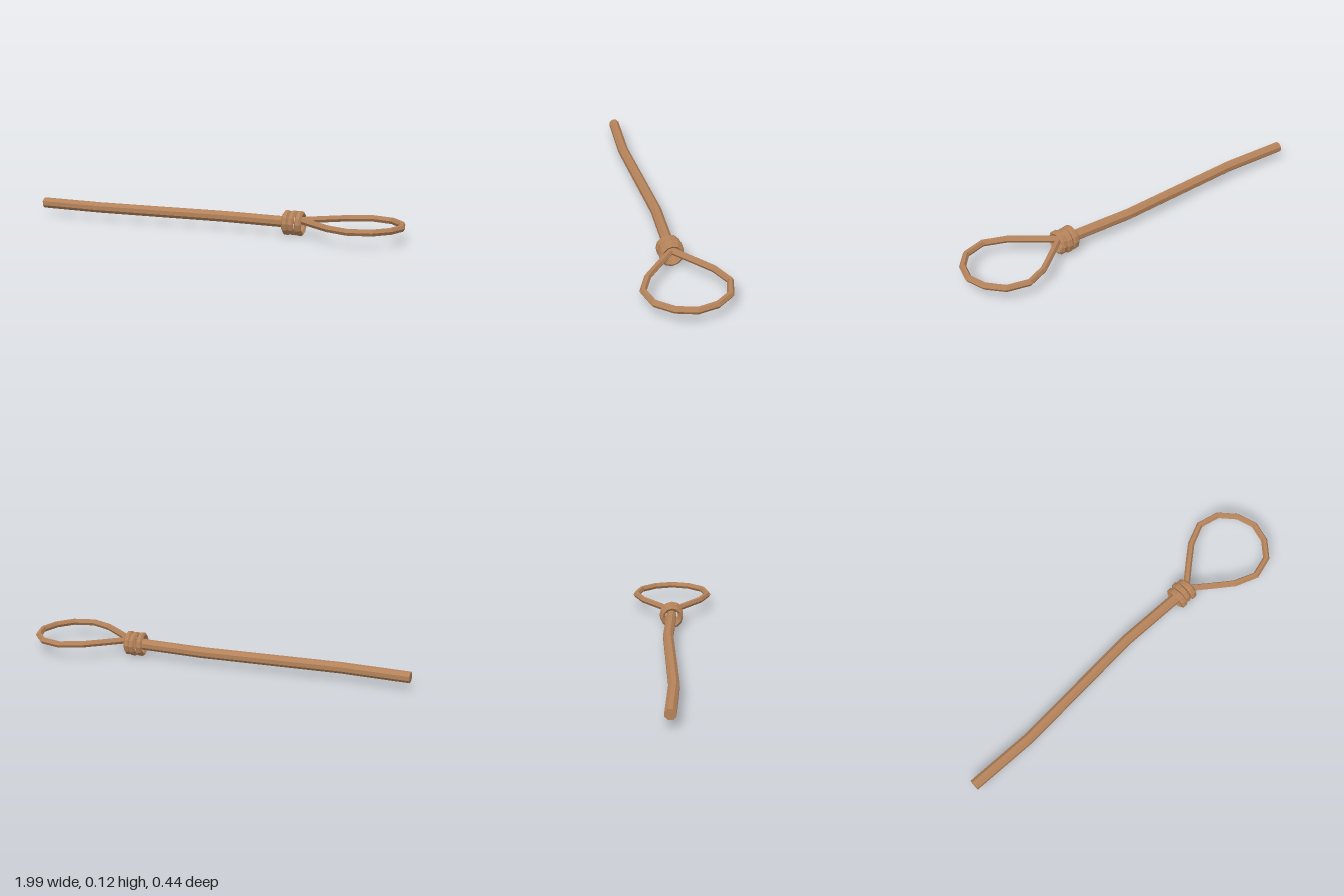
import * as THREE from 'three';

// Sweeps a faceted cord along [x, z] points lying at one height, with mitred corners
function cordGeometry(path, y, radius, sides, turn, closed) {
  const pts = path.map(([x, z]) => new THREE.Vector3(x, y, z));
  const up = new THREE.Vector3(0, 1, 0);
  const n = pts.length;
  const pos = [];
  const index = [];
  pts.forEach((p, i) => {
    const prev = closed ? pts[(i + n - 1) % n] : pts[Math.max(i - 1, 0)];
    const next = closed ? pts[(i + 1) % n] : pts[Math.min(i + 1, n - 1)];
    const a = p.clone().sub(prev).normalize();
    const b = next.clone().sub(p).normalize();
    const side = a.add(b).normalize().cross(up);
    for (let j = 0; j < sides; j++) {
      const t = turn + (j / sides) * Math.PI * 2;
      const v = p.clone().addScaledVector(side, radius * Math.cos(t)).addScaledVector(up, radius * Math.sin(t));
      pos.push(v.x, v.y, v.z);
    }
  });
  for (let i = 0; i < (closed ? n : n - 1); i++) {
    for (let j = 0; j < sides; j++) {
      const k = (j + 1) % sides;
      const a = i * sides, b = ((i + 1) % n) * sides;
      index.push(a + j, b + j, a + k, b + j, b + k, a + k);
    }
  }
  if (!closed) {
    const end = (n - 1) * sides;
    for (let j = 1; j < sides - 1; j++) {
      index.push(0, j, j + 1, end, end + j + 1, end + j);
    }
  }
  const g = new THREE.BufferGeometry();
  g.setAttribute('position', new THREE.Float32BufferAttribute(pos, 3));
  g.setIndex(index);
  g.computeVertexNormals();
  return g;
}

export function createModel() {
  const group = new THREE.Group();
  group.name = 'ropeLasso';
  const rope = new THREE.MeshStandardMaterial({ color: 0xb5835a, flatShading: true });
  rope.name = 'tan rope';
  const add = (name, geometry) => {
    const mesh = new THREE.Mesh(geometry, rope);
    mesh.name = name;
    group.add(mesh);
    return mesh;
  };

  // Long, gently waving rope
  const tail = [[-1, -0.003], [-0.65, 0.012], [0.05, -0.018], [0.42, -0.003]];
  add('longRope', cordGeometry(tail, 0.063, 0.028, 8, Math.PI / 8, false));

  // Teardrop loop: one half, mirrored across z
  const half = [[0.57, 0.086], [0.66, 0.156], [0.77, 0.201], [0.878, 0.173], [0.945, 0.096]];
  const mirrored = half.map(([x, z]) => [x, -z]).reverse();
  const loop = [[0.465, 0.002], ...half, [0.972, 0], ...mirrored, [0.465, -0.002]];
  add('loop', cordGeometry(loop, 0.0775, 0.0168, 6, 0, false));

  // Three slightly tilted coils of the knot
  const R = 0.0498, h = 0.0115, w = 0.0172;
  const profile = [[0, -w], [h, -w / 2], [h, w / 2], [0, w], [-h, w / 2], [-h, -w / 2], [0, -w]]
    .map(([r, y]) => new THREE.Vector2(R + r, y));
  const tilts = [0.06, -0.06, 0.06];
  tilts.forEach((tilt, i) => {
    const coil = add('knotCoil' + (i + 1), new THREE.LatheGeometry(profile, 12));
    coil.rotation.set(0, tilt, Math.PI / 2);
    coil.position.set(0.398 + i * 0.034, 0.0615, i === 1 ? -0.006 : 0);
  });

  return group;
}
